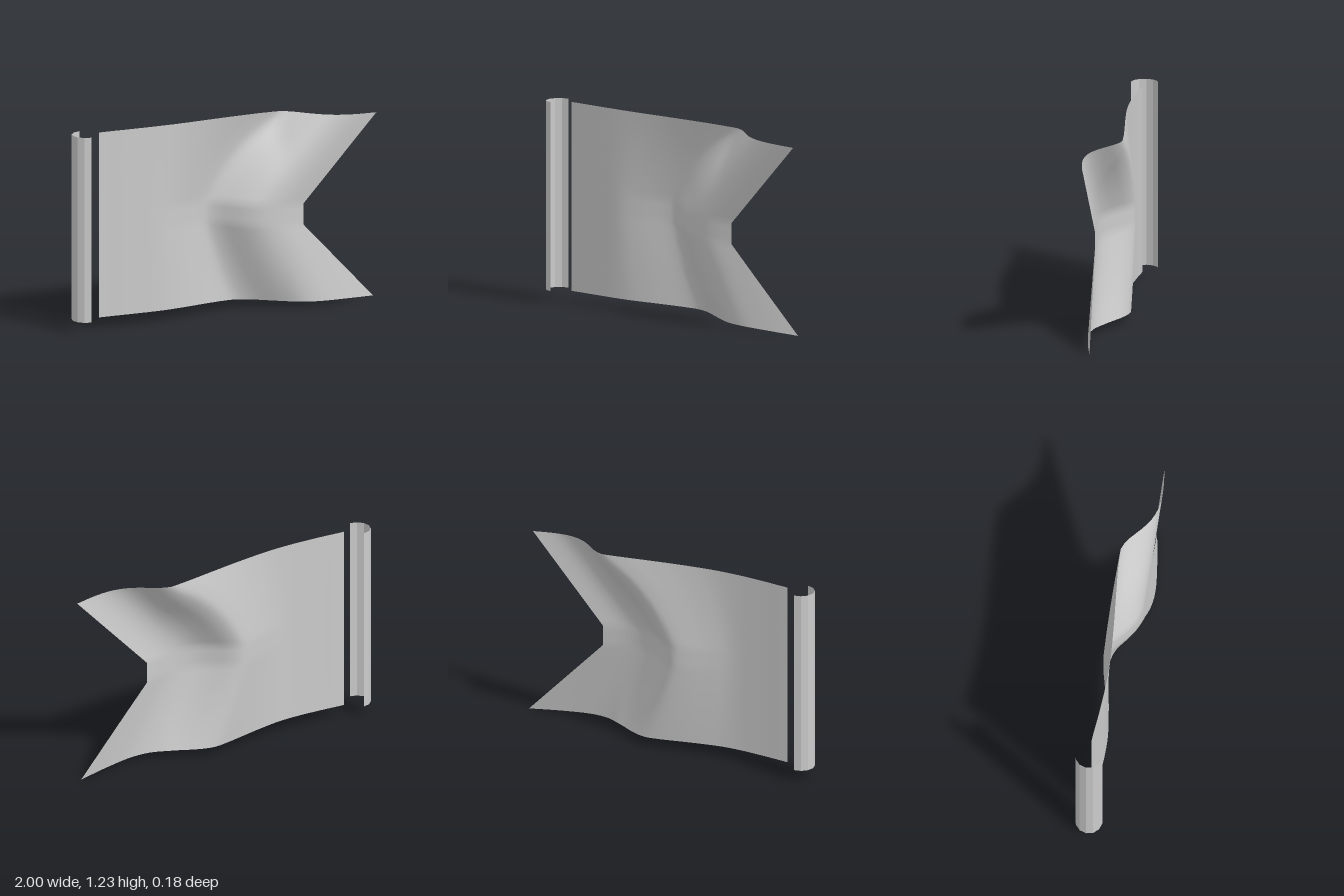
import * as THREE from 'three';

const HEIGHT = 1.155, BASE = 0.072;

// Ripple depth (z) along the distance from the fold line
const knots = [
  [-1.35, -0.01], [-0.82, -0.008], [-0.6, 0.002], [-0.42, 0], [-0.3, -0.028], [-0.2, -0.058],
  [-0.12, -0.08], [-0.06, -0.087], [0.01, -0.055], [0.08, 0], [0.14, 0.042],
  [0.22, 0.076], [0.33, 0.088], [0.51, 0.065], [0.75, 0.015],
];
const ripple = new THREE.CubicInterpolant(
  knots.map((k) => k[0]), knots.map((k) => k[1]), 1, new Float32Array(1));

// Swallow-tailed cloth: columns stretch into a V, folds follow it, free end sags
function clothGeometry() {
  const geo = new THREE.PlaneGeometry(1, 1, 48, 36);
  const pos = geo.attributes.position;
  for (let i = 0; i < pos.count; i++) {
    const u = pos.getX(i) + 0.5;
    const dy = pos.getY(i) * HEIGHT;
    const w = Math.max(0, (Math.abs(dy) - 0.064) / (HEIGHT / 2 - 0.064));
    const x = -0.825 + u * (1.335 + 0.49 * w);
    const y = BASE + HEIGHT / 2 + dy - 0.072 * u * u;
    const ramp = THREE.MathUtils.clamp((x + 0.5) / 0.9, 0, 1);
    const shift = (dy > 0 ? 0.49 : 0.27) * w * ramp;
    const z = ripple.evaluate(x - shift)[0];
    pos.setXYZ(i, x, y, z);
  }
  geo.computeVertexNormals();
  return geo;
}

export function createModel() {
  const group = new THREE.Group();

  const cloth = new THREE.Mesh(clothGeometry(),
    new THREE.MeshStandardMaterial({ color: 0xcccccc, side: THREE.DoubleSide }));
  cloth.name = 'bannerCloth';
  group.add(cloth);

  // Half-round pole sleeve, open toward the cloth
  const sleeve = new THREE.Mesh(
    new THREE.CylinderGeometry(0.083, 0.083, HEIGHT, 6, 1, true, Math.PI, Math.PI),
    new THREE.MeshStandardMaterial({ color: 0xcccccc, side: THREE.DoubleSide, flatShading: true }));
  sleeve.name = 'poleSleeve';
  sleeve.position.set(-0.917, BASE + HEIGHT / 2, -0.005);
  group.add(sleeve);

  return group;
}
